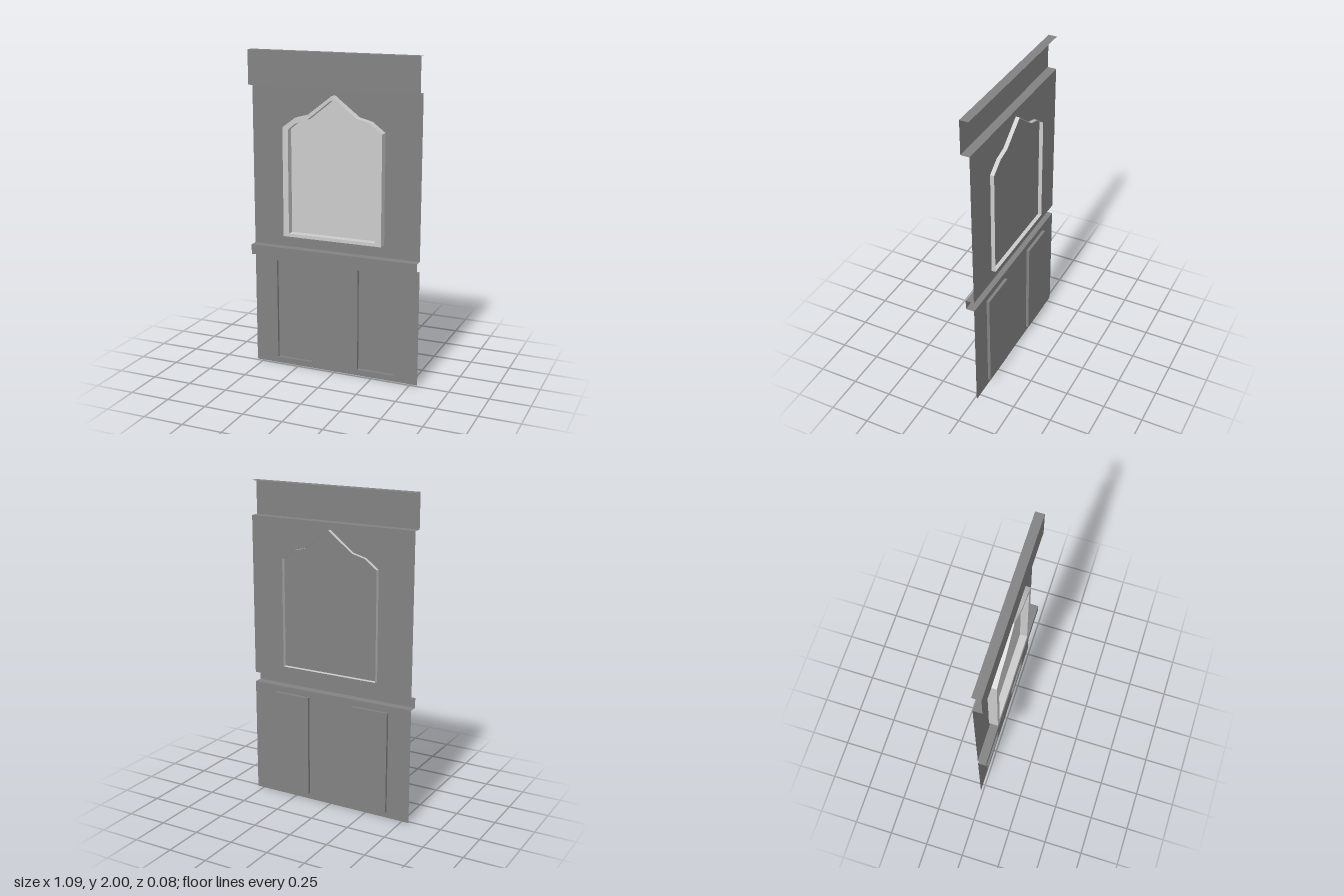
import * as THREE from 'three';
import { toCreasedNormals } from 'three/addons/utils/BufferGeometryUtils.js';

const wallMaterial = new THREE.MeshStandardMaterial({ color: 0x828282, side: THREE.DoubleSide });
const windowMaterial = new THREE.MeshStandardMaterial({ color: 0xcccccc, side: THREE.DoubleSide });

const HALF_WIDTH = 0.545;
const WALL_Z = -0.016;
const LEDGE_Z = 0.038;
const PANEL_Z = -0.035;

// Skin a list of rows (each a list of [x, y, z]) with quads
function loft(rows, closed, crease = 0.6) {
  const n = rows[0].length;
  const index = [];
  for (let r = 0; r < rows.length - 1; r++) {
    for (let i = 0; i < (closed ? n : n - 1); i++) {
      const j = (i + 1) % n;
      const a = r * n + i, b = r * n + j;
      index.push(a, b, b + n, a, b + n, a + n);
    }
  }
  const geometry = new THREE.BufferGeometry();
  geometry.setAttribute('position', new THREE.Float32BufferAttribute(rows.flat(2), 3));
  geometry.setIndex(index);
  return toCreasedNormals(geometry, crease);
}

const ring = (outline, z) => outline.map(([x, y]) => [x, y, z]);
const toPoints = (outline) => outline.map(([x, y]) => new THREE.Vector2(x, y));
const rect = (x0, x1, y0, y1) => [[x0, y0], [x1, y0], [x1, y1], [x0, y1]];

function addMesh(parent, name, geometry, material) {
  const mesh = new THREE.Mesh(geometry, material);
  mesh.name = name;
  parent.add(mesh);
  return mesh;
}

// Flat face filling an outline at depth z, with optional holes
function flatFace(outline, z, holes = []) {
  const shape = new THREE.Shape(toPoints(outline));
  holes.forEach((h) => shape.holes.push(new THREE.Path(toPoints(h))));
  return new THREE.ShapeGeometry(shape).translate(0, 0, z);
}

// Pointed window outline, counter-clockwise, from its right half
function archOutline(bottom, half, apex) {
  const right = [[half[0][0], bottom], ...half];
  const left = right.map(([x, y]) => [-x, y]).reverse();
  return [...right, [0, apex], ...left];
}

export function createModel() {
  const model = new THREE.Group();
  model.name = 'wallPanel';

  // Lower wall, cut out for the two recessed panels
  const panels = [rect(-0.396, -0.159, 0.038, 0.686), rect(0.15, 0.391, 0.038, 0.686)];
  const lower = rect(-HALF_WIDTH, HALF_WIDTH, 0, 0.727);
  addMesh(model, 'lowerWall', flatFace(lower, WALL_Z, panels), wallMaterial);

  // Recessed panels: side walls and sunken face
  panels.forEach((outline, i) => {
    const panel = new THREE.Group();
    panel.name = i ? 'leftPanel' : 'rightPanel';
    const sides = loft([ring(outline, WALL_Z), ring(outline, PANEL_Z)], true);
    addMesh(panel, 'panelSides', sides, wallMaterial);
    addMesh(panel, 'panelFace', flatFace(outline, PANEL_Z), wallMaterial);
    model.add(panel);
  });

  // Upper wall sheet folded into the rail and the top band, open at the ends
  const profile = [
    [0.727, WALL_Z], [0.727, LEDGE_Z], [0.789, LEDGE_Z], [0.789, WALL_Z],
    [1.789, WALL_Z], [1.789, LEDGE_Z], [2, LEDGE_Z], [2, WALL_Z],
  ];
  const rows = profile.map(([y, z]) => [[-HALF_WIDTH, y, z], [HALF_WIDTH, y, z]]);
  addMesh(model, 'upperWallWithLedges', loft(rows, false), wallMaterial);

  // Window frame shell, open at the back, with a set-back pane
  const outer = archOutline(0.868, [[0.319, 1.545], [0.239, 1.605], [0.157, 1.627]], 1.748);
  const inner = archOutline(0.888, [[0.283, 1.533], [0.232, 1.573], [0.155, 1.6]], 1.724);
  const paneZ = -0.005;
  const win = new THREE.Group();
  win.name = 'window';
  const frame = loft(
    [ring(outer, -0.041), ring(outer, 0.041), ring(inner, 0.041), ring(inner, paneZ)], true);
  addMesh(win, 'windowFrame', frame, windowMaterial);
  addMesh(win, 'windowPane', flatFace(inner, paneZ), windowMaterial);
  model.add(win);

  return model;
}
